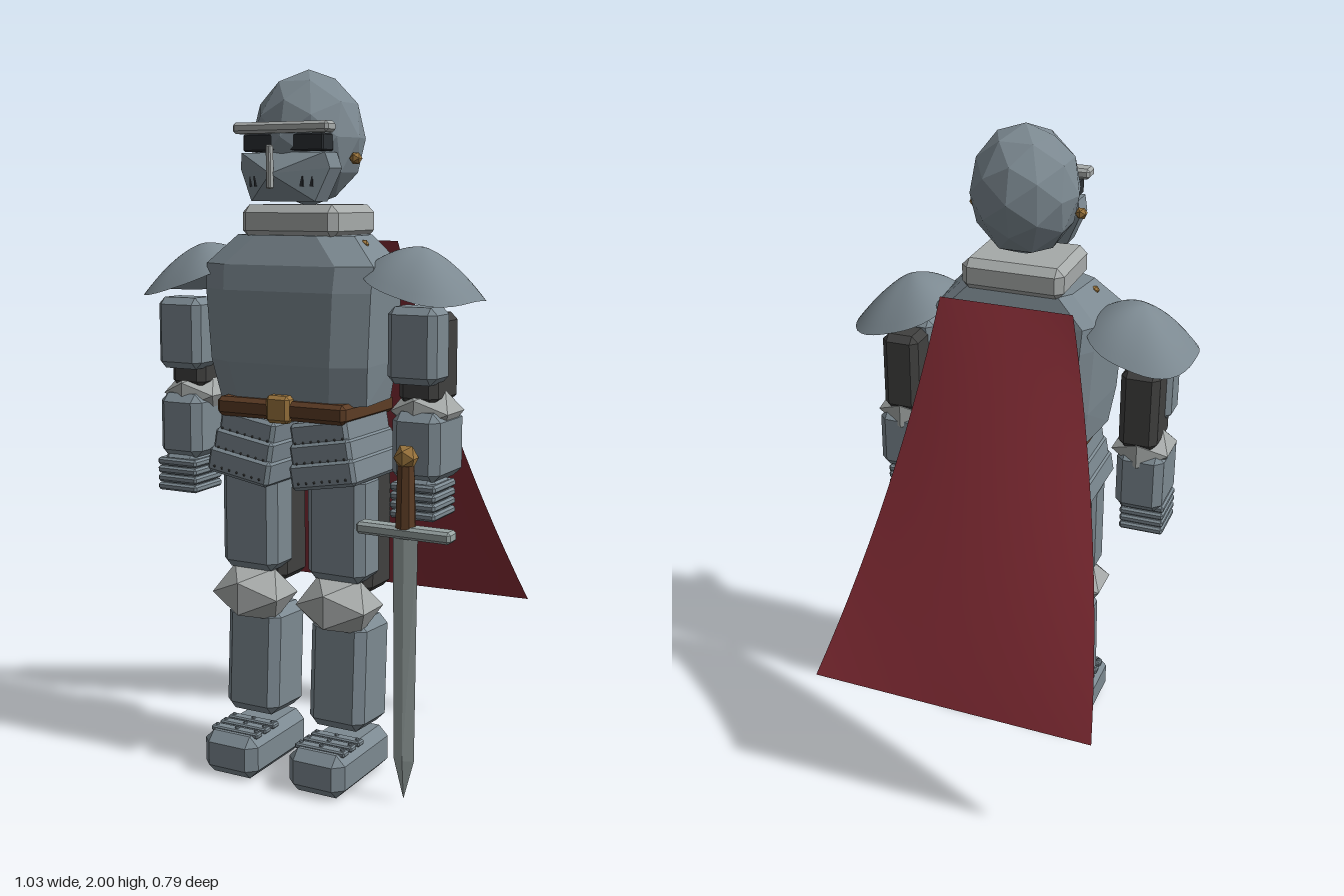
import * as THREE from 'three';
import { ConvexGeometry } from 'three/addons/geometries/ConvexGeometry.js';

const paint = (name, color, side = THREE.FrontSide) => {
  const m = new THREE.MeshStandardMaterial({ color, side });
  m.name = name;
  return m;
};

// Box with a single chamfer on every edge, flat normals
function chamferBox(w, h, d, c) {
  const pts = [];
  for (const x of [-1, 1]) for (const y of [-1, 1]) for (const z of [-1, 1]) {
    const p = (a, b, e) => pts.push(new THREE.Vector3(x * (w / 2 - a), y * (h / 2 - b), z * (d / 2 - e)));
    p(c, c, 0); p(c, 0, c); p(0, c, c);
  }
  return new ConvexGeometry(pts);
}

// Faceted ball
function gem(rx, ry, rz, detail = 0) {
  const g = new THREE.IcosahedronGeometry(1, detail).scale(rx, ry, rz);
  g.computeVertexNormals();
  return g;
}

// Breastplate hull from chamfered rings: [y, half width, back z, front z]
function torsoGeometry() {
  const pts = [];
  const rings = [[1.09, 0.235, 0.03, 0.305], [1.2, 0.25, 0.02, 0.33], [1.4, 0.262, 0.02, 0.335],
    [1.47, 0.265, 0.03, 0.325], [1.55, 0.185, 0.05, 0.285]];
  for (const [y, w, b, f] of rings) for (const s of [-1, 1]) {
    for (const [x, z] of [[w - 0.09, f], [w, f - 0.05], [w - 0.02, b + 0.04], [w - 0.05, b]])
      pts.push(new THREE.Vector3(s * x, y, z));
  }
  return new ConvexGeometry(pts);
}

// Rounded-square shoulder dome, sloping down outwards (left side)
function pauldronGeometry() {
  const g = new THREE.CircleGeometry(1, 40).toNonIndexed();
  g.dispose();
  const dome = new THREE.RingGeometry(0.001, 1, 40, 10);
  const p = dome.attributes.position;
  for (let i = 0; i < p.count; i++) {
    const a = p.getX(i), b = p.getY(i), s = Math.hypot(a, b);
    const k = s / Math.pow(Math.abs(a) ** 2.7 + Math.abs(b) ** 2.7, 1 / 2.7);
    const u = a * k, v = -b * k;
    const y = 1.425 - 0.045 * u + 0.095 * (1 - s ** 1.6) - 0.03 * v * v * s;
    p.setXYZ(i, 0.358 + 0.154 * u, y, 0.155 + 0.172 * v);
  }
  dome.computeVertexNormals();
  return dome;
}

// Cape sheet: narrow at the neck, flaring down and back
function capeGeometry() {
  const g = new THREE.PlaneGeometry(1, 1, 10, 14);
  const p = g.attributes.position;
  for (let i = 0; i < p.count; i++) {
    const u = p.getX(i) + 0.5, t = 0.5 - p.getY(i), arch = 4 * t * (1 - t);
    const left = -0.2 - 0.21 * t - 0.025 * arch, right = 0.195 + 0.268 * t - 0.028 * arch;
    const bow = 4 * u * (1 - u) * arch;
    p.setXYZ(i, left + (right - left) * u, 1.53 - (1.135 - 0.02 * u) * t, -0.01 - 0.39 * t - 0.03 * bow + 0.015 * arch);
  }
  g.computeVertexNormals();
  return g;
}

export function createModel() {
  const steel = paint('steel', 0x7c8991);
  const shell = paint('shoulder steel', 0x7c8991, THREE.DoubleSide);
  const bright = paint('bright steel', 0xa6aaa9);
  const dark = paint('dark padding', 0x40403f);
  const red = paint('red cloth', 0x842c35, THREE.DoubleSide);
  const gold = paint('brass', 0x9c763e);
  const brown = paint('brown leather', 0x5c3c25);
  const bladeSteel = paint('blade steel', 0x98a3a2);
  const black = paint('visor shadow', 0x2b2f33);

  const model = new THREE.Group();
  model.name = 'knight';
  const add = (parent, name, geo, mat, x = 0, y = 0, z = 0) => {
    const m = new THREE.Mesh(geo, mat);
    m.name = name;
    m.position.set(x, y, z);
    parent.add(m);
    return m;
  };
  // Chamfered block given by its extents
  const block = (parent, name, mat, x0, x1, y0, y1, z0, z1, c = 0.02) =>
    add(parent, name, chamferBox(x1 - x0, y1 - y0, z1 - z0, c), mat, (x0 + x1) / 2, (y0 + y1) / 2, (z0 + z1) / 2);
  const group = (name) => {
    const g = new THREE.Group();
    g.name = name;
    model.add(g);
    return g;
  };

  // Helmet and visor
  const head = group('helmet');
  add(head, 'skull', gem(0.158, 0.187, 0.158, 1), steel, 0, 1.813, 0.155);
  block(head, 'browBar', bright, -0.15, 0.148, 1.823, 1.853, 0.265, 0.318, 0.008);
  block(head, 'eyeSlit', black, -0.125, 0.125, 1.775, 1.822, 0.24, 0.3, 0.004);
  const visorPts = [[0, 1.715, 0.365]];
  for (const s of [-1, 1]) for (const z of [0.23, 0.298])
    visorPts.push([s * 0.13, 1.772, z], [s * 0.14, 1.73, z - 0.01], [s * 0.1, 1.642, z]);
  add(head, 'visor', new ConvexGeometry(visorPts.map((p) => new THREE.Vector3(...p))), steel);
  block(head, 'visorRidge', bright, -0.007, 0.007, 1.675, 1.79, 0.355, 0.376, 0.003);
  for (const s of [-1, 1]) {
    add(head, 'visorPivot', gem(0.018, 0.018, 0.018), gold, s * 0.158, 1.757, 0.175);
    for (const x of [0.072, 0.094])
      add(head, 'breathSlot', new THREE.BoxGeometry(0.009, 0.028, 0.02), black, s * x, 1.695, 0.313 - (x - 0.072) * 0.6);
  }
  block(model, 'gorget', bright, -0.152, 0.152, 1.54, 1.633, 0.032, 0.283, 0.022);

  // Torso, belt and cape
  add(model, 'breastplate', torsoGeometry(), steel);
  block(model, 'belt', brown, -0.205, 0.205, 1.045, 1.1, 0.026, 0.33, 0.012);
  block(model, 'buckle', gold, -0.037, 0.037, 1.038, 1.115, 0.3, 0.342, 0.01);
  add(model, 'cape', capeGeometry(), red);

  const pauldron = pauldronGeometry();
  const rivet = gem(0.007, 0.007, 0.007);
  for (const s of [1, -1]) {
    const side = s > 0 ? 'left' : 'right';
    const sideBlock = (g, name, mat, x0, x1, ...r) =>
      block(g, name, mat, s > 0 ? x0 : -x1, s > 0 ? x1 : -x0, ...r);

    // Shoulder and arm
    const arm = group(side + 'Arm');
    const pad = add(arm, 'pauldron', s > 0 ? pauldron : pauldron.clone().scale(-1, 1, 1), shell);
    if (s < 0) { // restore the winding after mirroring
      const ix = pad.geometry.index.array;
      for (let i = 0; i < ix.length; i += 3) [ix[i], ix[i + 1]] = [ix[i + 1], ix[i]];
      pad.geometry.computeVertexNormals();
    }
    add(arm, 'shoulderStud', gem(0.014, 0.014, 0.014), gold, s * 0.197, 1.527, 0.2);
    sideBlock(arm, 'armPadding', dark, 0.315, 0.43, 1.1, 1.345, 0.075, 0.235);
    sideBlock(arm, 'upperArmPlate', steel, 0.3, 0.445, 1.16, 1.367, 0.165, 0.278);
    add(arm, 'elbowCop', gem(0.1, 0.07, 0.105), bright, s * 0.375, 1.08, 0.165);
    sideBlock(arm, 'forearm', steel, 0.31, 0.452, 0.895, 1.085, 0.08, 0.27, 0.024);
    sideBlock(arm, 'hand', steel, 0.325, 0.44, 0.8, 0.915, 0.145, 0.265);
    for (let i = 0; i < 4; i++)
      sideBlock(arm, 'fingerPlate', steel, 0.315, 0.45, 0.797 + i * 0.025, 0.819 + i * 0.025, 0.135, 0.277, 0.006);

    // Hip plates in three overlapping lames
    const tasset = group(side + 'Tasset');
    tasset.position.set(s * 0.125, 0.96, 0);
    tasset.rotation.z = s * 0.17;
    for (let i = 0; i < 3; i++) {
      const w = 0.18 + i * 0.012, y = 0.06 - i * 0.055, f = 0.315 + i * 0.008;
      block(tasset, 'lame', steel, -w / 2, w / 2, y - 0.045, y + 0.03, 0.055 - i * 0.005, f, 0.01);
      for (let k = -3; k <= 3; k++)
        add(tasset, 'lameRivet', gem(0.004, 0.004, 0.004), dark, k * 0.025, y - 0.025, f);
    }

    // Leg
    const leg = group(side + 'Leg');
    sideBlock(leg, 'thighPadding', dark, 0.06, 0.22, 0.545, 0.9, 0.06, 0.205);
    sideBlock(leg, 'thighPlate', steel, 0.05, 0.232, 0.59, 0.9, 0.15, 0.277, 0.024);
    add(leg, 'kneeCop', gem(0.128, 0.09, 0.112), bright, s * 0.14, 0.517, 0.235);
    const shin = sideBlock(leg, 'shin', steel, 0.052, 0.228, 0.153, 0.472, 0.088, 0.268, 0.026);
    shin.rotation.x = -0.055;
    sideBlock(leg, 'boot', steel, 0.052, 0.23, 0.003, 0.128, 0.077, 0.395, 0.028);
    for (let i = 0; i < 3; i++) {
      const z = 0.25 + i * 0.045;
      sideBlock(leg, 'footLame', steel, 0.062, 0.22, 0.118, 0.134, z - 0.016, z + 0.016, 0.004);
      for (const x of [0.075, 0.14, 0.207]) add(leg, 'footRivet', rivet, steel, s * x, 0.134, z);
    }
  }

  // Sword held point down in the left hand
  const sword = group('sword');
  sword.position.set(0.375, 0, 0.296);
  const bladePts = [new THREE.Vector3(0, 0.012, 0)];
  for (const [y, w] of [[0.125, 0.031], [0.77, 0.037]])
    for (const q of [-1, 1]) bladePts.push(new THREE.Vector3(q * w, y, 0), new THREE.Vector3(0, y, q * 0.011));
  add(sword, 'blade', new ConvexGeometry(bladePts), bladeSteel);
  block(sword, 'crossguard', bladeSteel, -0.14, 0.14, 0.752, 0.785, -0.026, 0.026, 0.008);
  const grip = new THREE.CylinderGeometry(0.024, 0.029, 0.17, 8).toNonIndexed();
  grip.computeVertexNormals();
  add(sword, 'grip', grip, brown, 0, 0.865, 0);
  add(sword, 'pommel', gem(0.035, 0.038, 0.03), gold, 0, 0.97, 0);

  return model;
}
